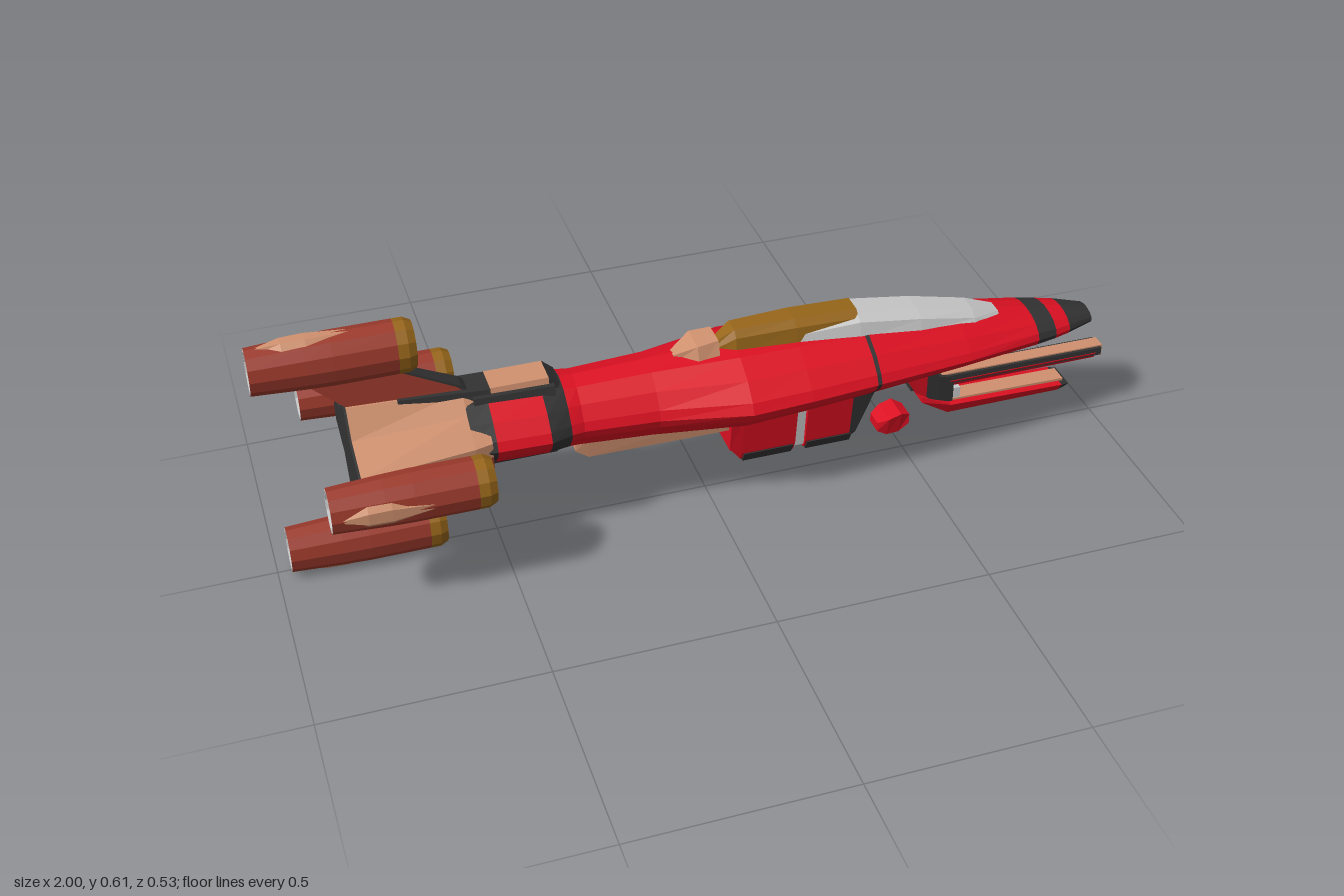
import * as THREE from 'three';

const RED = 0xdd1022, DARK = 0x333333, RUST = 0x9c3a2c, SKIN = 0xd0916f, GOLD = 0x97661a, GREY = 0xcccccc;

// Skin a run of sections [x, [[y, z], ...]] along x with flat facets.
function loft(name, color, sections, capStart = true, capEnd = true) {
  const pos = [];
  const n = sections[0][1].length;
  const at = (s, j) => [s[0], ...s[1][j % n]];
  for (let i = 0; i < sections.length - 1; i++) {
    const a = sections[i], b = sections[i + 1];
    for (let j = 0; j < n; j++) {
      pos.push(...at(a, j), ...at(a, j + 1), ...at(b, j));
      pos.push(...at(a, j + 1), ...at(b, j + 1), ...at(b, j));
    }
  }
  const cap = (s, flip) => {
    const mid = [s[0], 0, 0];
    s[1].forEach(p => { mid[1] += p[0] / n; mid[2] += p[1] / n; });
    for (let j = 0; j < n; j++) {
      const p = at(s, j), q = at(s, j + 1);
      pos.push(...mid, ...(flip ? q : p), ...(flip ? p : q));
    }
  };
  if (capStart) cap(sections[0], true);
  if (capEnd) cap(sections[sections.length - 1], false);
  const geo = new THREE.BufferGeometry();
  geo.setAttribute('position', new THREE.Float32BufferAttribute(pos, 3));
  geo.computeVertexNormals();
  const mesh = new THREE.Mesh(geo, new THREE.MeshStandardMaterial({ color, flatShading: true }));
  mesh.name = name;
  return mesh;
}

// Cross-sections; pinch above 1 draws the sides of an oval out to an edge
function oval(x, halfZ, top, bottom, n = 16, pinch = 1) {
  const pts = [];
  for (let j = 0; j < n; j++) {
    const a = (j / n) * Math.PI * 2, c = Math.cos(a);
    pts.push([(top + bottom) / 2 + Math.sign(c) * Math.abs(c) ** pinch * (top - bottom) / 2, Math.sin(a) * halfZ]);
  }
  return [x, pts];
}
const hullSection = s => oval(...s, 16, s[0] > 0.7 ? 1.1 : 1.5);
const ring = (x, r) => oval(x, r, r, -r, 12);
const trap = (x, y1, y0, zTop, zBottom = zTop) =>
  [x, [[y1, -zTop], [y1, zTop], [y0, zBottom], [y0, -zBottom]]];
// Half section listed from top to bottom on the +z side, mirrored to -z
const mirrored = (x, half) => [x, [...half, ...half.map(([y, z]) => [y, -z]).reverse()]];

// Hull stations: x, half width, top, bottom
const HULL = [
  [-0.56, 0.125, 0.405, 0.23], [-0.51, 0.13, 0.405, 0.23], [-0.39, 0.13, 0.40, 0.228],
  [-0.34, 0.108, 0.396, 0.222], [-0.31, 0.10, 0.394, 0.218], [-0.14, 0.112, 0.40, 0.208],
  [0.06, 0.163, 0.41, 0.208], [0.2, 0.16, 0.408, 0.218], [0.36, 0.15, 0.402, 0.23],
  [0.37, 0.149, 0.402, 0.231], [0.6, 0.122, 0.378, 0.248], [0.79, 0.086, 0.35, 0.264],
  [0.84, 0.075, 0.342, 0.268], [0.88, 0.064, 0.336, 0.273], [0.95, 0.038, 0.32, 0.283],
];

// Painted bands: name, colour, first and last station
const BANDS = [
  ['rearCollar', DARK, 0, 1], ['waistSection', RED, 1, 2], ['waistCollar', DARK, 2, 3],
  ['mainHull', RED, 3, 8], ['hullSeam', DARK, 8, 9], ['frontHull', RED, 9, 11],
  ['noseBand', DARK, 11, 12], ['noseStripe', RED, 12, 13], ['noseTip', DARK, 13, 14],
];

function createEngine(name) {
  const g = new THREE.Group();
  g.name = name;
  g.add(loft('engineBody', RUST, [ring(-0.175, 0.05), ring(-0.06, 0.056), ring(0, 0.058), ring(0.135, 0.058)], false, false));
  g.add(loft('intakeLip', GOLD, [ring(0.135, 0.058), ring(0.158, 0.058), ring(0.175, 0.05), ring(0.175, 0.042)], false, false));
  g.add(loft('intakeSeam', DARK, [ring(0.175, 0.042), ring(0.165, 0.036)], false, false));
  g.add(loft('intakeCone', GOLD, [ring(0.165, 0.036), ring(0.12, 0.024)], false, false));
  g.add(loft('intakeCore', GREY, [ring(0.12, 0.024), ring(0.118, 0.001)], false));
  g.add(loft('exhaust', GREY, [ring(-0.05, 0.038), ring(-0.175, 0.044), ring(-0.175, 0.05)], true, false));
  // Raised plate on the outer side
  const plate = (x, y, z) => [x, [[y, 0.04], [y * 0.4, z], [-y * 0.4, z], [-y, 0.04]]];
  g.add(loft('outerPlate', SKIN, [plate(-0.155, 0.006, 0.05), plate(-0.1, 0.033, 0.059), plate(-0.05, 0.036, 0.06), plate(0.06, 0.008, 0.056)]));
  return g;
}

export function createModel() {
  const model = new THREE.Group();
  model.name = 'starfighter';
  const body = new THREE.Group();
  body.name = 'body';
  body.position.z = 0.006;
  model.add(body);

  // Hull
  for (const [name, color, a, b] of BANDS) {
    body.add(loft(name, color, HULL.slice(a, b + 1).map(hullSection), a === 0, b === HULL.length - 1));
  }

  // Canopy: gold rear half, grey front half
  const canopy = (x, top, w) => mirrored(x, [[top, w * 0.5], [top - 0.015, w * 0.85], [(top + 0.33) / 2, w], [0.33, w]]);
  body.add(loft('canopyRear', GOLD, [canopy(0.0, 0.405, 0.012), canopy(0.06, 0.446, 0.04), canopy(0.2, 0.45, 0.048), canopy(0.35, 0.446, 0.048)]));
  body.add(loft('canopyFront', GREY, [canopy(0.2, 0.43, 0.05), canopy(0.35, 0.44, 0.06), canopy(0.5, 0.418, 0.058), canopy(0.64, 0.388, 0.05), canopy(0.71, 0.365, 0.036)]));
  body.add(loft('canopyFairing', SKIN, [trap(-0.08, 0.402, 0.38, 0.012), trap(-0.03, 0.428, 0.38, 0.035, 0.05), trap(0.02, 0.432, 0.38, 0.03, 0.05)]));

  // Waist: top housing, dark surrounds and belly keel
  body.add(loft('topHousing', SKIN, [trap(-0.5, 0.42, 0.36, 0.034, 0.045), trap(-0.37, 0.42, 0.36, 0.034, 0.045)]));
  body.add(loft('topHousingFront', DARK, [trap(-0.37, 0.42, 0.36, 0.034, 0.045), trap(-0.345, 0.4, 0.36, 0.03, 0.045)]));
  body.add(loft('topHousingBase', DARK, [trap(-0.54, 0.408, 0.36, 0.048, 0.06), trap(-0.36, 0.405, 0.36, 0.048, 0.06)]));
  body.add(loft('tailSpine', DARK, [trap(-0.7, 0.427, 0.36, 0.028, 0.04), trap(-0.5, 0.418, 0.36, 0.036, 0.05)]));
  body.add(loft('bellyKeel', SKIN, [trap(-0.32, 0.25, 0.215, 0.045), trap(-0.29, 0.25, 0.193, 0.05, 0.045), trap(0.05, 0.25, 0.193, 0.055, 0.048)]));
  body.add(loft('waistBelly', DARK, [trap(-0.56, 0.27, 0.222, 0.06, 0.04), trap(-0.36, 0.27, 0.222, 0.06, 0.04)]));

  // Four-pointed tail flaring out to the engines, upper and lower halves
  const upper = (x, top, w, v) => mirrored(x, [[top, 0.025], [v, 0.065], [0.34, w], [0.305, w]]);
  const lower = (x, bot, w, v) => mirrored(x, [[0.305, w], [0.275, w], [v, 0.065], [bot, 0.025]]);
  body.add(loft('tailUpper', SKIN, [upper(-0.81, 0.43, 0.165, 0.37), upper(-0.56, 0.42, 0.135, 0.38), upper(-0.52, 0.405, 0.125, 0.375)]));
  body.add(loft('tailLower', RUST, [lower(-0.81, 0.19, 0.165, 0.25), lower(-0.56, 0.22, 0.135, 0.24), lower(-0.52, 0.23, 0.125, 0.245)]));
  const star = x => mirrored(x, [[0.425, 0.024], [0.368, 0.063], [0.337, 0.16], [0.278, 0.16], [0.252, 0.063], [0.195, 0.024]]);
  body.add(loft('tailBack', DARK, [star(-0.815), star(-0.8)]));

  // Swept fins to the upper and lower engines; rows give height, back, front, half thickness
  const fin = (name, color, rows) => {
    const mesh = loft(name, color, rows.map(([y, back, front, w]) =>
      [y, [[-back, -w], [-back, w], [-front, w], [-front, -w]]]));
    mesh.geometry.rotateZ(Math.PI / 2);
    body.add(mesh);
  };
  fin('upperFin', RUST, [[0.38, -0.81, -0.51, 0.026], [0.43, -0.81, -0.57, 0.02], [0.51, -0.9, -0.73, 0.012]]);
  fin('upperFinEdge', DARK, [[0.38, -0.52, -0.5, 0.026], [0.43, -0.58, -0.56, 0.02], [0.51, -0.74, -0.72, 0.012]]);
  fin('lowerFin', DARK, [[0.11, -0.87, -0.72, 0.012], [0.19, -0.81, -0.56, 0.02], [0.245, -0.81, -0.5, 0.03]]);

  // Engines: name, x, y, z, roll, y and z stretch
  const engines = [
    ['leftEngine', -0.715, 0.309, 0.211, 0, 1.02, 0.94],
    ['rightEngine', -0.715, 0.309, -0.211, Math.PI, 1.02, 0.94],
    ['topEngine', -0.825, 0.549, 0.008, -Math.PI / 2, 1.07, 0.9],
    ['bottomEngine', -0.795, 0.066, 0.008, Math.PI / 2, 1.07, 0.9],
  ];
  for (const [name, x, y, z, roll, sy, sz] of engines) {
    const e = createEngine(name);
    e.rotation.x = roll;
    const holder = new THREE.Group();
    holder.name = name + 'Mount';
    holder.position.set(x, y, z);
    holder.scale.set(1, sy, sz);
    holder.add(e);
    model.add(holder);
  }

  // Belly pods, split by a slim groove
  const pod = (x, bot) => mirrored(x, [[0.26, 0.085], [0.235, 0.07], [Math.max(bot, 0.125), 0.055], [bot, 0.042]]);
  body.add(loft('rearPod', RED, [pod(0.04, 0.14), pod(0.07, 0.1), pod(0.2, 0.1)]));
  body.add(loft('frontPod', RED, [pod(0.225, 0.1), pod(0.335, 0.1)]));
  body.add(loft('frontPodFace', DARK, [pod(0.335, 0.1), pod(0.35, 0.12), pod(0.385, 0.215)]));
  body.add(loft('podGroove', GREY, [trap(0.2, 0.25, 0.11, 0.06, 0.045), trap(0.225, 0.25, 0.11, 0.06, 0.045)]));
  for (const [x0, x1] of [[0.075, 0.195], [0.23, 0.34]]) {
    body.add(loft('podFloor', DARK, [trap(x0, 0.122, 0.094, 0.057, 0.043), trap(x1, 0.122, 0.094, 0.057, 0.043)]));
    body.add(loft('podFloorPlate', SKIN, [trap(x0 + 0.015, 0.1, 0.092, 0.026), trap(x1 - 0.015, 0.1, 0.092, 0.026)]));
  }

  // Chin guns: sloping mount, long upper barrel and shorter lower tray
  body.add(loft('gunMount', RED, [trap(0.48, 0.265, 0.23, 0.035), trap(0.51, 0.26, 0.18, 0.03), trap(0.54, 0.25, 0.16, 0.026)]));
  body.add(loft('gunMountFront', DARK, [trap(0.54, 0.25, 0.16, 0.026), trap(0.57, 0.212, 0.135, 0.026), trap(0.61, 0.2, 0.13, 0.024)]));
  body.add(loft('upperBarrel', DARK, [trap(0.5, 0.206, 0.184, 0.024), trap(0.995, 0.204, 0.184, 0.024)]));
  body.add(loft('upperBarrelTop', SKIN, [trap(0.56, 0.209, 0.2, 0.017), trap(1.0, 0.207, 0.178, 0.017)]));
  body.add(loft('upperBarrelKeel', RED, [trap(0.6, 0.192, 0.174, 0.026, 0.018), trap(0.98, 0.192, 0.176, 0.026, 0.018)]));
  body.add(loft('lowerTray', RED, [trap(0.53, 0.16, 0.145, 0.025), trap(0.6, 0.133, 0.1, 0.04, 0.022), trap(0.89, 0.128, 0.102, 0.04, 0.022)]));
  body.add(loft('lowerTrayNose', DARK, [trap(0.89, 0.128, 0.102, 0.04, 0.022), trap(0.91, 0.125, 0.112, 0.034, 0.024)]));
  body.add(loft('lowerTrayTop', SKIN, [trap(0.58, 0.138, 0.12, 0.022), trap(0.9, 0.134, 0.12, 0.022)]));
  body.add(loft('lowerGunCore', GREY, [trap(0.58, 0.168, 0.13, 0.02), trap(0.63, 0.165, 0.13, 0.02)]));

  // Small loose pod behind the guns
  body.add(loft('chinSensor', RED, [trap(0.42, 0.108, 0.085, 0.022), trap(0.445, 0.12, 0.07, 0.034, 0.022), trap(0.475, 0.13, 0.072, 0.034, 0.022), trap(0.5, 0.118, 0.092, 0.024)]));
  return model;
}
